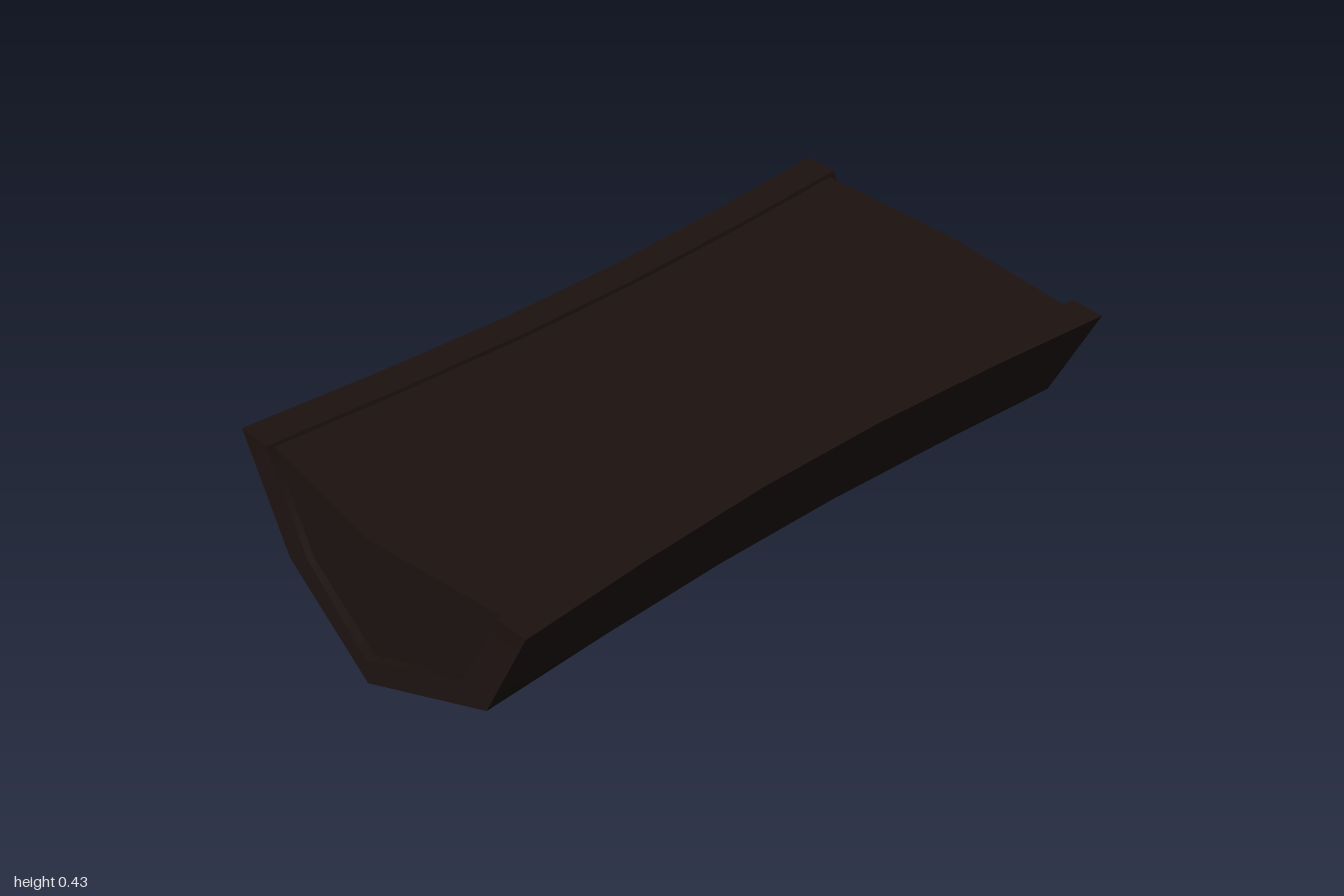
import * as THREE from 'three';
import { toCreasedNormals } from 'three/addons/utils/BufferGeometryUtils.js';

// Stations along the length: [fraction from back to front, width scale]
const STATIONS = [[0, 1], [0.2, 0.94], [0.4, 0.9], [0.6, 0.9], [0.8, 0.94], [1, 1]];

// Sweep a closed profile of [x, y, zBack, zFront] through the stations and cap both ends
function loft(profile, capTriangles) {
  const n = profile.length;
  const positions = [];
  const index = [];
  for (const [t, s] of STATIONS) {
    for (const [x, y, zb, zf] of profile) positions.push(x * s, y, zb + (zf - zb) * t);
  }
  for (let k = 0; k < STATIONS.length - 1; k++) {
    for (let i = 0; i < n; i++) {
      const j = (i + 1) % n;
      const a = k * n + i, b = k * n + j, c = b + n, d = a + n;
      index.push(a, b, c, a, c, d);
    }
  }
  const front = (STATIONS.length - 1) * n;
  for (const [a, b, c] of capTriangles) {
    index.push(front + a, front + b, front + c, c, b, a);
  }
  const g = new THREE.BufferGeometry();
  g.setAttribute('position', new THREE.Float32BufferAttribute(positions, 3));
  g.setIndex(index);
  return toCreasedNormals(g, 0.9);
}

// Mirror a half profile (rim, knee, keel) into a full one running from -x to +x
const mirrored = (half) => [
  ...half.map(([x, ...rest]) => [-x, ...rest]),
  ...half.slice(0, -1).reverse(),
];

export function createModel() {
  const group = new THREE.Group();
  const material = new THREE.MeshStandardMaterial({ color: 0x1c1210 });
  const add = (name, geometry) => {
    const mesh = new THREE.Mesh(geometry, material);
    mesh.name = name;
    group.add(mesh);
  };

  // Thick V-bottomed trough, pointed at the keel on both ends
  const outer = mirrored([
    [0.535, 0.433, -0.967, 0.94], [0.38, 0.125, -0.967, 0.94], [0, 0, -1, 1],
  ]);
  const inner = mirrored([
    [0.435, 0.433, -0.967, 0.94], [0.3, 0.17, -0.963, 0.943], [0, 0.07, -1, 1],
  ]);
  const hullCaps = [];
  for (let i = 0; i < 4; i++) hullCaps.push([i, i + 1, 8 - i], [i, 8 - i, 9 - i]);
  add('troughShell', loft([...outer, ...inner.reverse()], hullCaps));

  // Solid core filling the trough, just below the rim and set back from the ends
  const core = mirrored([
    [0.432, 0.424, -0.945, 0.92], [0.3, 0.17, -0.945, 0.925], [0, 0.07, -0.968, 0.973],
  ]);
  core.push([0, 0.424, -0.968, 0.973]);
  const coreCaps = [];
  for (let i = 0; i < 4; i++) coreCaps.push([5, i, i + 1]);
  add('innerCore', loft(core, coreCaps));

  return group;
}
